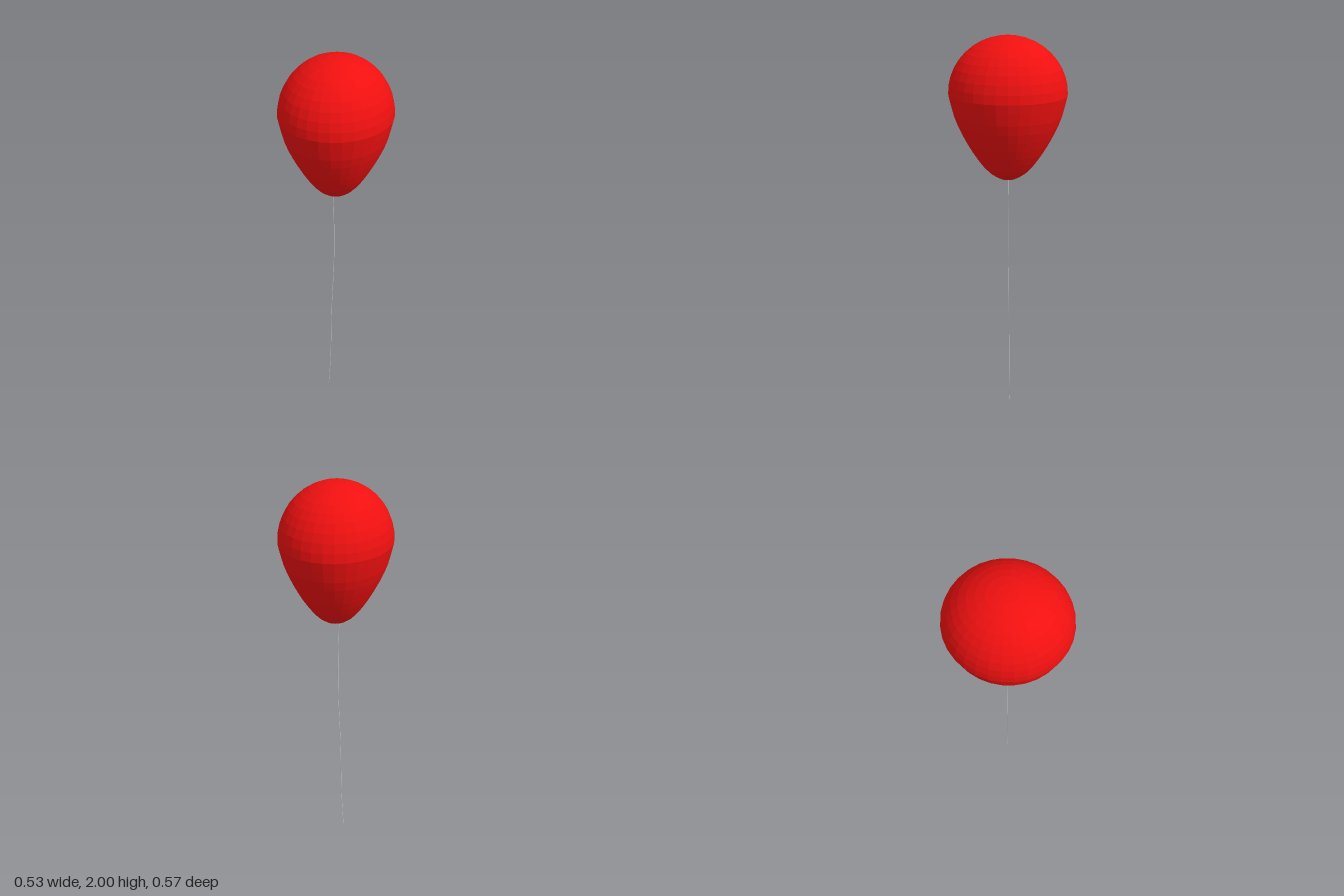
import * as THREE from 'three';

export function createModel() {
  const group = new THREE.Group();
  const red = new THREE.MeshStandardMaterial({ color: 0xf01010, flatShading: true });
  const grey = new THREE.MeshStandardMaterial({ color: 0xcccccc });
  const add = (name, geometry, material) => {
    const mesh = new THREE.Mesh(geometry, material);
    mesh.name = name;
    group.add(mesh);
    return mesh;
  };

  // Balloon: tapered underside, elliptical dome, slightly deeper than wide
  const widest = 1.73, radius = 0.265, domeHeight = 0.27;
  const underside = new THREE.SplineCurve([
    [0, 1.31], [0.04, 1.317], [0.095, 1.357], [0.15, 1.433],
    [0.2, 1.525], [0.24, 1.622], [radius, widest],
  ].map(([x, y]) => new THREE.Vector2(x, y)));
  const profile = underside.getPoints(13);
  profile[0].x = 0;
  for (let i = 1; i <= 10; i++) {
    const a = (i / 10) * Math.PI / 2;
    profile.push(new THREE.Vector2(i === 10 ? 0 : radius * Math.cos(a), widest + domeHeight * Math.sin(a)));
  }
  add('balloon', new THREE.LatheGeometry(profile, 32).scale(1, 1, 1.07), red);

  // Small tied knot, just off centre under the balloon
  const knot = add('knot', new THREE.SphereGeometry(0.02, 10, 6), red);
  knot.scale.set(1, 0.35, 0.8);
  knot.position.set(-0.02, 1.315, 0);

  // Thin, gently curving string
  const path = new THREE.CatmullRomCurve3([
    [-0.045, 0], [-0.033, 0.22], [-0.025, 0.58], [-0.012, 0.9], [-0.011, 1.1], [-0.016, 1.315],
  ].map(([x, y]) => new THREE.Vector3(x, y, 0)));
  add('string', new THREE.TubeGeometry(path, 40, 0.0015, 6), grey);

  return group;
}
